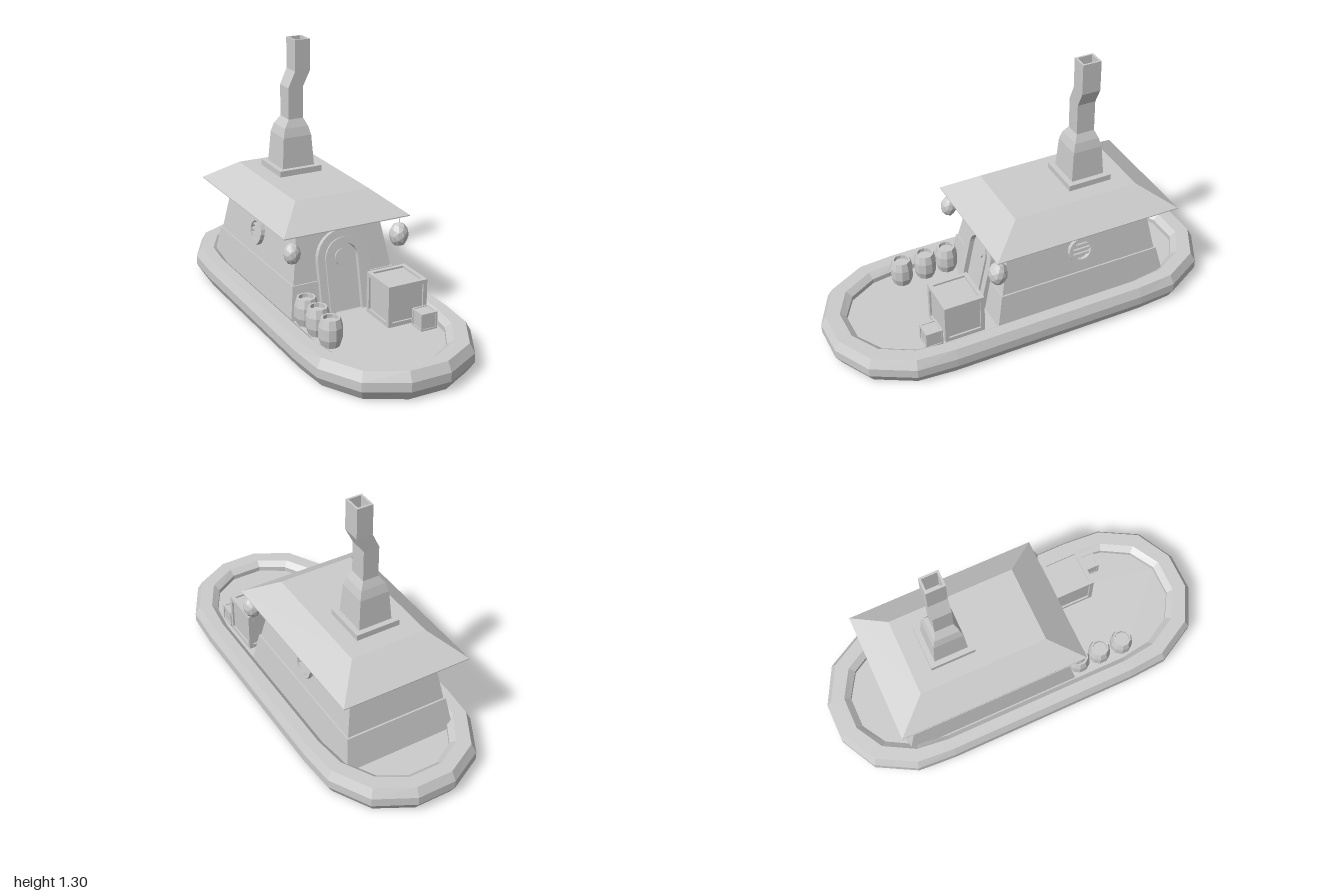
import * as THREE from 'three';

const mat = new THREE.MeshStandardMaterial({ color: 0xcccccc, flatShading: true });
const thin = new THREE.MeshStandardMaterial({ color: 0xcccccc, flatShading: true, side: THREE.DoubleSide });

function add(parent, name, geo, x = 0, y = 0, z = 0, material = mat) {
  const m = new THREE.Mesh(geo, material);
  m.name = name;
  m.position.set(x, y, z);
  parent.add(m);
  return m;
}

function group(parent, name, x, y, z) {
  const g = new THREE.Group();
  g.name = name;
  g.position.set(x, y, z);
  parent.add(g);
  return g;
}

// Skin a stack of rings (counter-clockwise from above); either cap the ends or join last to first
function loft(rings, closed = false) {
  const pos = [], n = rings[0].length;
  const tri = (a, b, c) => pos.push(...a, ...b, ...c);
  const count = closed ? rings.length : rings.length - 1;
  for (let r = 0; r < count; r++) {
    const lo = rings[r], hi = rings[(r + 1) % rings.length];
    for (let i = 0; i < n; i++) {
      const j = (i + 1) % n;
      tri(lo[i], lo[j], hi[j]);
      tri(lo[i], hi[j], hi[i]);
    }
  }
  if (!closed) {
    const lo = rings[0], hi = rings[rings.length - 1];
    for (let i = 1; i < n - 1; i++) {
      tri(lo[0], lo[i + 1], lo[i]);
      tri(hi[0], hi[i], hi[i + 1]);
    }
  }
  const g = new THREE.BufferGeometry();
  g.setAttribute('position', new THREE.Float32BufferAttribute(pos, 3));
  g.computeVertexNormals();
  return g;
}

// Rectangular ring at height y
const rect = (y, x0, x1, z0, z1) => [[x1, y, z1], [x1, y, z0], [x0, y, z0], [x0, y, z1]];
const square = (y, cx, h, hz = h) => rect(y, cx - h, cx + h, -0.355 - hz, -0.355 + hz);

// Boat-shaped outline, u = 0 outer edge of the rim, u = 1 inner edge
const OUTER = [[0.1, 1], [0.29, 0.9], [0.4, 0.7], [0.413, 0.5]];
const INNER = [[0.08, 0.875], [0.205, 0.8], [0.285, 0.66], [0.308, 0.5]];
function outline(u, y) {
  const q = OUTER.map(([x, z], i) => [x + (INNER[i][0] - x) * u, y, z + (INNER[i][1] - z) * u]);
  const right = [...q, ...q.slice().reverse().map(([x, , z]) => [x, y, -z])];
  return [...right, ...right.map(([x, , z]) => [-x, y, -z])];
}

// Arched outline with feet at y = 0
function arch(r, spring, Type = THREE.Shape) {
  const s = new Type();
  s.moveTo(-r, 0);
  s.lineTo(r, 0);
  s.lineTo(r, spring);
  s.absarc(0, spring, r, 0, Math.PI, false);
  s.closePath();
  return s;
}

function extrude(shape, depth, hole) {
  if (hole) shape.holes.push(hole);
  return new THREE.ExtrudeGeometry(shape, { depth, bevelEnabled: false, curveSegments: 8 });
}

// Crate: inset core with bars along all twelve edges
function crate(parent, name, size, x, y, z) {
  const g = group(parent, name, x, y + size / 2, z);
  const bar = size * 0.1, core = size - bar * 0.9, o = (size - bar) / 2;
  add(g, 'cratePanels', new THREE.BoxGeometry(core, core, core));
  for (const a of [-o, o]) for (const b of [-o, o]) {
    add(g, 'crateEdge', new THREE.BoxGeometry(size, bar, bar), 0, a, b);
    add(g, 'crateEdge', new THREE.BoxGeometry(bar, size, bar), a, 0, b);
    add(g, 'crateEdge', new THREE.BoxGeometry(bar, bar, size), a, b, 0);
  }
}

export function createModel() {
  const model = new THREE.Group();
  model.name = 'houseboat';
  const FLOOR = 0.09;

  // Hull rim and deck
  const section = [[0, 0.05], [0, 0.095], [0.2, 0.14], [0.75, 0.14], [1, 0.115], [1, 0.03], [0.75, 0], [0.25, 0]];
  add(model, 'hullRim', loft(section.map(([u, y]) => outline(u, y)), true));
  add(model, 'deck', loft([outline(0.9, FLOOR - 0.01), outline(0.9, FLOOR)]));

  // Cabin with a flared skirt
  add(model, 'cabinSkirt', loft([rect(FLOOR, -0.295, 0.295, -0.7, 0.232), rect(0.255, -0.272, 0.272, -0.66, 0.202)]));
  add(model, 'cabinWalls', loft([rect(0.25, -0.265, 0.265, -0.652, 0.196), rect(0.525, -0.22, 0.22, -0.6, 0.14)]));
  add(model, 'roof', loft([
    rect(0.52, -0.338, 0.334, -0.725, 0.252), rect(0.525, -0.338, 0.334, -0.725, 0.252),
    rect(0.635, -0.2, 0.195, -0.562, 0.092)]));

  // Crooked hollow chimney
  add(model, 'chimneyPlate', loft([square(0.63, -0.003, 0.114), square(0.665, -0.003, 0.114)]));
  add(model, 'chimney', loft([
    square(0.66, -0.004, 0.087), square(0.82, -0.003, 0.076), square(0.865, -0.002, 0.064),
    square(0.905, 0.003, 0.04, 0.047), square(1.065, 0.003, 0.04, 0.047),
    square(1.145, 0.041, 0.041, 0.048), square(1.302, 0.041, 0.041, 0.048),
    square(1.302, 0.041, 0.031, 0.038), square(1.16, 0.041, 0.031, 0.038)]));

  // Arched door leaning with the front wall
  const door = group(model, 'door', 0, FLOOR, 0.228);
  door.rotation.x = -0.21;
  const spring = 0.262;
  add(door, 'doorOuterFrame', extrude(arch(0.138, spring), 0.04, arch(0.1, spring, THREE.Path)), 0, 0, -0.01);
  add(door, 'doorInnerFrame', extrude(arch(0.1, spring), 0.05, arch(0.072, spring, THREE.Path)), 0, 0, -0.01);
  add(door, 'doorPanel', extrude(arch(0.072, spring), 0.025), 0, 0, -0.01);
  add(door, 'doorWindow', new THREE.CylinderGeometry(0.041, 0.041, 0.012, 16), 0, 0.262, 0.018).rotation.x = Math.PI / 2;

  for (const s of [-1, 1]) {
    // Barred round window on each side wall
    const win = group(model, s > 0 ? 'leftWindow' : 'rightWindow', s * 0.243, 0.378, -0.235);
    win.rotation.set(-0.165, s * Math.PI / 2, 0, 'YXZ');
    const ring = new THREE.Shape().absarc(0, 0, 0.069, 0, Math.PI * 2);
    const hole = new THREE.Path().absarc(0, 0, 0.05, 0, Math.PI * 2);
    add(win, 'windowRing', extrude(ring, 0.032, hole), 0, 0, -0.01);
    for (const k of [-1, 0, 1]) {
      const w = 2 * Math.sqrt(0.054 ** 2 - (k * 0.025) ** 2);
      add(win, 'windowBar', new THREE.BoxGeometry(w, 0.011, 0.014), 0, k * 0.025, 0.007);
    }

    // Hanging lantern, the left one slightly larger
    const [r, h, y] = s > 0 ? [0.048, 0.062, 0.427] : [0.041, 0.054, 0.437];
    const lamp = group(model, s > 0 ? 'leftLantern' : 'rightLantern', s * 0.287, y, 0.23);
    add(lamp, 'lanternBody', new THREE.IcosahedronGeometry(1, 1)).scale.set(r, h, r);
    const low = s > 0 ? -0.095 : 0;
    const len = 0.522 - y - low;
    add(lamp, 'lanternString', new THREE.CylinderGeometry(0.0012, 0.0012, len, 4), 0, low + len / 2, 0);
  }

  // Row of open-topped barrels
  const staves = [[0, 0], [0.044, 0], [0.057, 0.04], [0.057, 0.095], [0.046, 0.137], [0.036, 0.137], [0.036, 0.118], [0, 0.118]]
    .map(([x, y]) => new THREE.Vector2(x, y));
  for (const z of [0.275, 0.393, 0.52]) {
    add(model, 'barrel', new THREE.LatheGeometry(staves, 10), -0.238, FLOOR, z, thin);
  }

  // Crates
  crate(model, 'largeCrate', 0.207, 0.177, FLOOR + 0.003, 0.402);
  crate(model, 'smallCrate', 0.086, 0.236, FLOOR, 0.56);

  return model;
}
